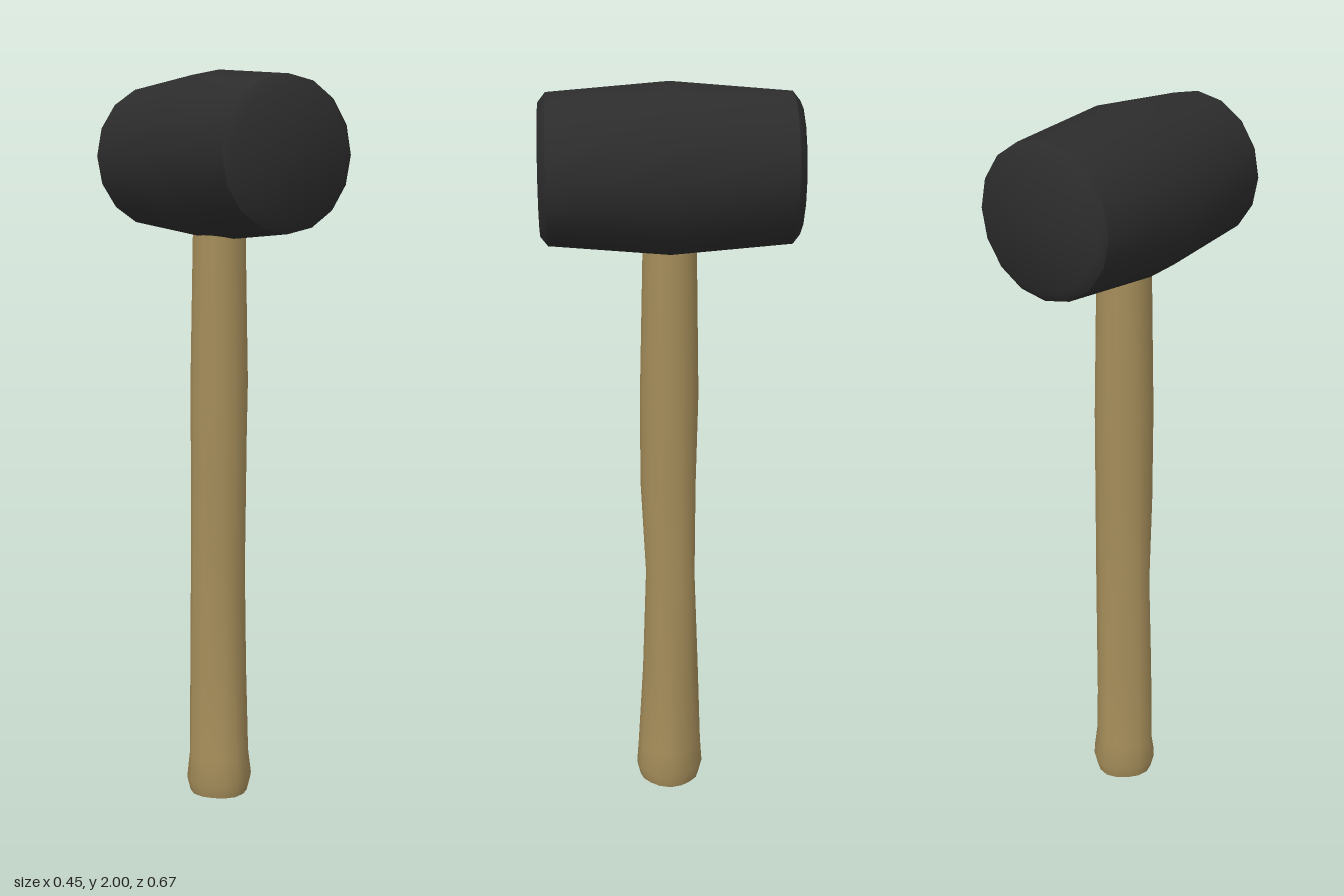
import * as THREE from 'three';
import { mergeVertices, toCreasedNormals } from 'three/addons/utils/BufferGeometryUtils.js';

const SIDES = 16;

// Smooth along the surface, sharp only at strong edges
function crease(geometry, angle) {
  geometry.deleteAttribute('uv');
  geometry.deleteAttribute('normal');
  return toCreasedNormals(mergeVertices(geometry, 1e-5), angle);
}

// Handle rings: height, then radii at +z, +x+z, +x, +x-z, -z, -x-z, -x, -x+z
const HANDLE_RINGS = [
  [0.00, 0.085, 0.08, 0.085, 0.08, 0.085, 0.08, 0.085, 0.08],
  [0.04, 0.095, 0.09, 0.095, 0.09, 0.095, 0.09, 0.095, 0.09],
  [0.11, 0.09, 0.078, 0.09, 0.078, 0.09, 0.078, 0.092, 0.078],
  [0.35, 0.076, 0.075, 0.08, 0.079, 0.082, 0.075, 0.09, 0.074],
  [0.65, 0.066, 0.073, 0.068, 0.08, 0.07, 0.075, 0.085, 0.063],
  [0.92, 0.08, 0.076, 0.075, 0.08, 0.073, 0.076, 0.082, 0.079],
  [1.17, 0.08, 0.078, 0.082, 0.08, 0.079, 0.078, 0.081, 0.08],
  [1.60, 0.07, 0.072, 0.072, 0.072, 0.072, 0.072, 0.07, 0.072],
  [1.78, 0.07, 0.07, 0.07, 0.07, 0.07, 0.07, 0.07, 0.07],
];

function handleGeometry() {
  const profile = [new THREE.Vector2(0, 0), ...HANDLE_RINGS.map(([y]) => new THREE.Vector2(1, y))];
  const geometry = new THREE.LatheGeometry(profile, SIDES);
  const p = geometry.attributes.position;
  // Shape each ring of the turned blank by its own radii
  for (let s = 0; s <= SIDES; s++) {
    const t = ((s % SIDES) / SIDES) * 8;
    const a = Math.floor(t);
    HANDLE_RINGS.forEach(([, ...radii], r) => {
      const i = s * profile.length + r + 1;
      const radius = THREE.MathUtils.lerp(radii[a], radii[(a + 1) % 8], t - a);
      p.setX(i, p.getX(i) * radius);
      p.setZ(i, p.getZ(i) * radius);
    });
  }
  return crease(geometry, 0.9);
}

function headGeometry() {
  // Barrel profile with bevelled striking faces
  const profile = [
    [0, -0.335], [0.172, -0.335], [0.197, -0.315], [0.223, 0],
    [0.197, 0.315], [0.172, 0.335], [0, 0.335],
  ].map(([r, y]) => new THREE.Vector2(r, y));
  return crease(new THREE.LatheGeometry(profile, SIDES).rotateX(Math.PI / 2), 0.75);
}

export function createModel() {
  const rubber = new THREE.MeshStandardMaterial({ color: 0x2c2c2c });
  rubber.name = 'black rubber';
  const wood = new THREE.MeshStandardMaterial({ color: 0xa58d5a });
  wood.name = 'tan wood';

  const model = new THREE.Group();
  model.name = 'mallet';

  const head = new THREE.Mesh(headGeometry(), rubber);
  head.name = 'head';
  head.position.y = 1.777;

  const handle = new THREE.Mesh(handleGeometry(), wood);
  handle.name = 'handle';

  model.add(head, handle);
  return model;
}
